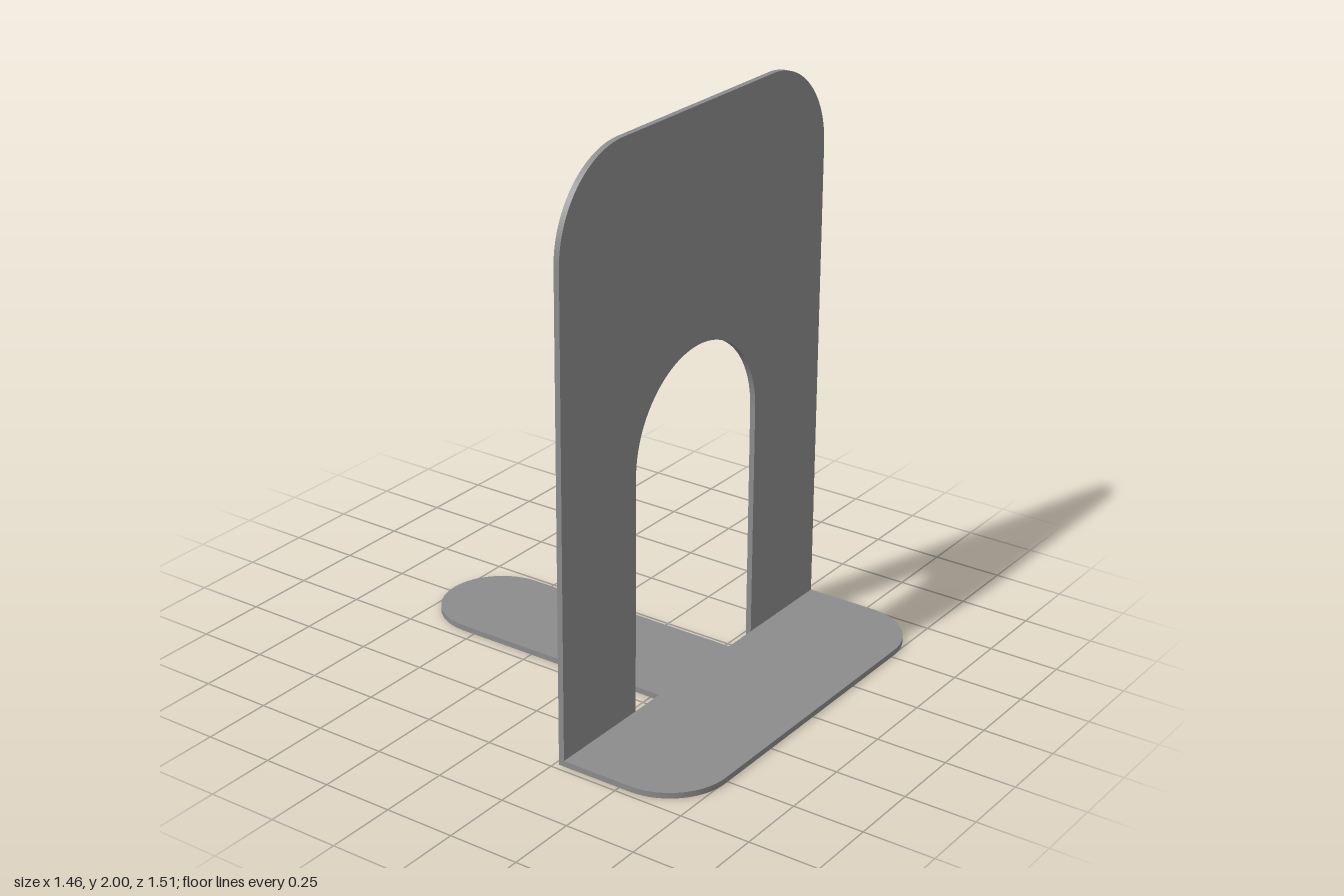
import * as THREE from 'three';

const HALF_W = 0.728, THICK = 0.02, PANEL_FRONT = 0.285;

// Sheet of even thickness cut from a flat outline
function sheet(name, shape, material) {
  const geometry = new THREE.ExtrudeGeometry(shape, { depth: THICK, bevelEnabled: false, curveSegments: 24 });
  const mesh = new THREE.Mesh(geometry, material);
  mesh.name = name;
  return mesh;
}

export function createModel() {
  const group = new THREE.Group();
  group.name = 'bookend';
  const steel = new THREE.MeshStandardMaterial({ color: 0x8c8c8c });
  steel.name = 'grey steel';

  // Upright panel with rounded top corners and an arched opening
  const R = 0.32, archR = 0.34, spring = 0.86;
  const panel = new THREE.Shape();
  panel.moveTo(archR, 0);
  panel.lineTo(HALF_W, 0);
  panel.lineTo(HALF_W, 2 - R);
  panel.absarc(HALF_W - R, 2 - R, R, 0, Math.PI / 2, false);
  panel.lineTo(-HALF_W + R, 2);
  panel.absarc(-HALF_W + R, 2 - R, R, Math.PI / 2, Math.PI, false);
  panel.lineTo(-HALF_W, 0);
  panel.lineTo(-archR, 0);
  panel.lineTo(-archR, spring);
  panel.absarc(0, spring, archR, Math.PI, 0, true);
  panel.closePath();
  const upright = sheet('uprightPanel', panel, steel);
  upright.position.z = PANEL_FRONT - THICK;
  group.add(upright);

  // Base: front foot and rear tongue in one sheet, drawn with shape y = -z
  const end = 0.755, r = 0.215, t = 0.207, back = -PANEL_FRONT;
  const base = new THREE.Shape();
  base.moveTo(-HALF_W + r, -end);
  base.lineTo(HALF_W - r, -end);
  base.absarc(HALF_W - r, -end + r, r, -Math.PI / 2, 0, false);
  base.lineTo(HALF_W, back);
  base.lineTo(t, back);
  base.lineTo(t, end - t);
  base.absarc(0, end - t, t, 0, Math.PI, false);
  base.lineTo(-t, back);
  base.lineTo(-HALF_W, back);
  base.lineTo(-HALF_W, -end + r);
  base.absarc(-HALF_W + r, -end + r, r, Math.PI, Math.PI * 1.5, false);
  const foot = sheet('basePlate', base, steel);
  foot.rotation.x = -Math.PI / 2;
  group.add(foot);

  return group;
}
